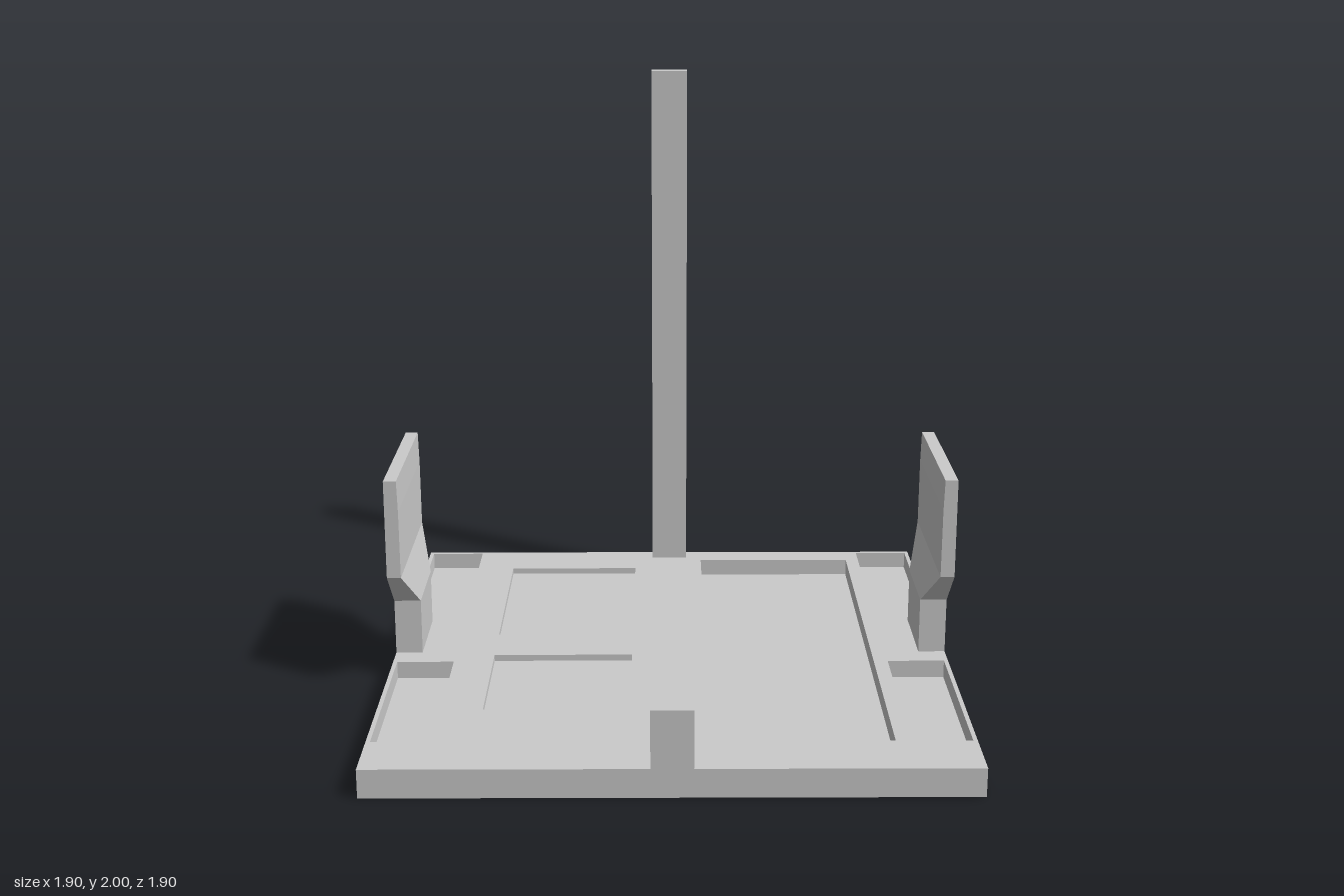
import * as THREE from 'three';

const HALF = 0.95, TOP = 0.095;

// Pockets in the base: [x0, x1, z0, z1, floor height]
const POCKETS = [
  [-0.608, -0.133, -0.768, -0.1, 0.073],
  [-0.608, -0.133, 0.082, 0.525, 0.073],
  [0.123, 0.695, -0.857, 0.76, 0.035],
];
for (const [x0, x1] of [[-0.936, -0.743], [0.743, 0.936]]) {
  POCKETS.push([x0, x1, -0.935, -0.315, 0.035], [x0, x1, 0.14, 0.762, 0.035]);
}

// Counter-clockwise rectangle, with z running down the shape plane
function rectangle(path, x0, x1, z0, z1) {
  path.moveTo(x0, -z1);
  path.lineTo(x1, -z1);
  path.lineTo(x1, -z0);
  path.lineTo(x0, -z0);
  path.closePath();
  return path;
}

// Lofts rectangular sections [y, x0, x1, z0, z1] into a closed solid
function loft(sections) {
  const rings = sections.map(([y, x0, x1, z0, z1]) =>
    [[x0, y, z0], [x0, y, z1], [x1, y, z1], [x1, y, z0]]);
  const pos = [];
  const quad = (a, b, c, d) => pos.push(...a, ...b, ...c, ...a, ...c, ...d);
  for (let i = 0; i < rings.length - 1; i++) {
    const lo = rings[i], hi = rings[i + 1];
    for (let k = 0; k < 4; k++) {
      const n = (k + 1) % 4;
      quad(lo[k], lo[n], hi[n], hi[k]);
    }
  }
  const first = rings[0], last = rings[rings.length - 1];
  quad(last[0], last[1], last[2], last[3]);
  quad(first[3], first[2], first[1], first[0]);
  const geo = new THREE.BufferGeometry();
  geo.setAttribute('position', new THREE.Float32BufferAttribute(pos, 3));
  geo.computeVertexNormals();
  return geo;
}

export function createModel() {
  const group = new THREE.Group();
  group.name = 'trayWithPost';
  const grey = new THREE.MeshStandardMaterial({ color: 0xcacaca });
  grey.name = 'lightGrey';

  const add = (name, geometry, parent = group) => {
    const mesh = new THREE.Mesh(geometry, grey);
    mesh.name = name;
    parent.add(mesh);
    return mesh;
  };
  const addBox = (name, x0, x1, y0, y1, z0, z1, parent) => {
    const mesh = add(name, new THREE.BoxGeometry(x1 - x0, y1 - y0, z1 - z0), parent);
    mesh.position.set((x0 + x1) / 2, (y0 + y1) / 2, (z0 + z1) / 2);
  };

  // Base plate with recessed pockets
  const base = new THREE.Group();
  base.name = 'base';
  group.add(base);
  const outline = rectangle(new THREE.Shape(), -HALF, HALF, -HALF, HALF);
  outline.holes = POCKETS.map((p) => rectangle(new THREE.Path(), p[0], p[1], p[2], p[3]));
  const plate = new THREE.ExtrudeGeometry(outline, { depth: TOP, bevelEnabled: false });
  plate.rotateX(-Math.PI / 2);
  add('basePlate', plate, base);
  for (const [x0, x1, z0, z1, floor] of POCKETS) {
    addBox('pocketFloor', x0, x1, 0, floor, z0, z1, base);
  }

  // Tall post at the back and low block at the front
  addBox('backPost', -0.066, 0.066, TOP, 2, -HALF, -0.887);
  addBox('frontBlock', -0.066, 0.066, TOP, 0.286, 0.573, HALF);

  // Paddle-shaped side brackets: thick narrow stem flaring to a thin wide plate
  const stem = [-0.229, 0.058], wide = [-0.372, 0.201];
  const profile = [
    [TOP, 0.859, stem], [0.286, 0.859, stem],
    [0.423, 0.903, wide], [0.655, 0.904, wide], [0.762, 0.907, wide],
  ];
  for (const side of [1, -1]) {
    const sections = profile.map(([y, inner, [z0, z1]]) =>
      (side > 0 ? [y, inner, HALF, z0, z1] : [y, -HALF, -inner, z0, z1]));
    add(side > 0 ? 'leftBracket' : 'rightBracket', loft(sections));
  }
  return group;
}
